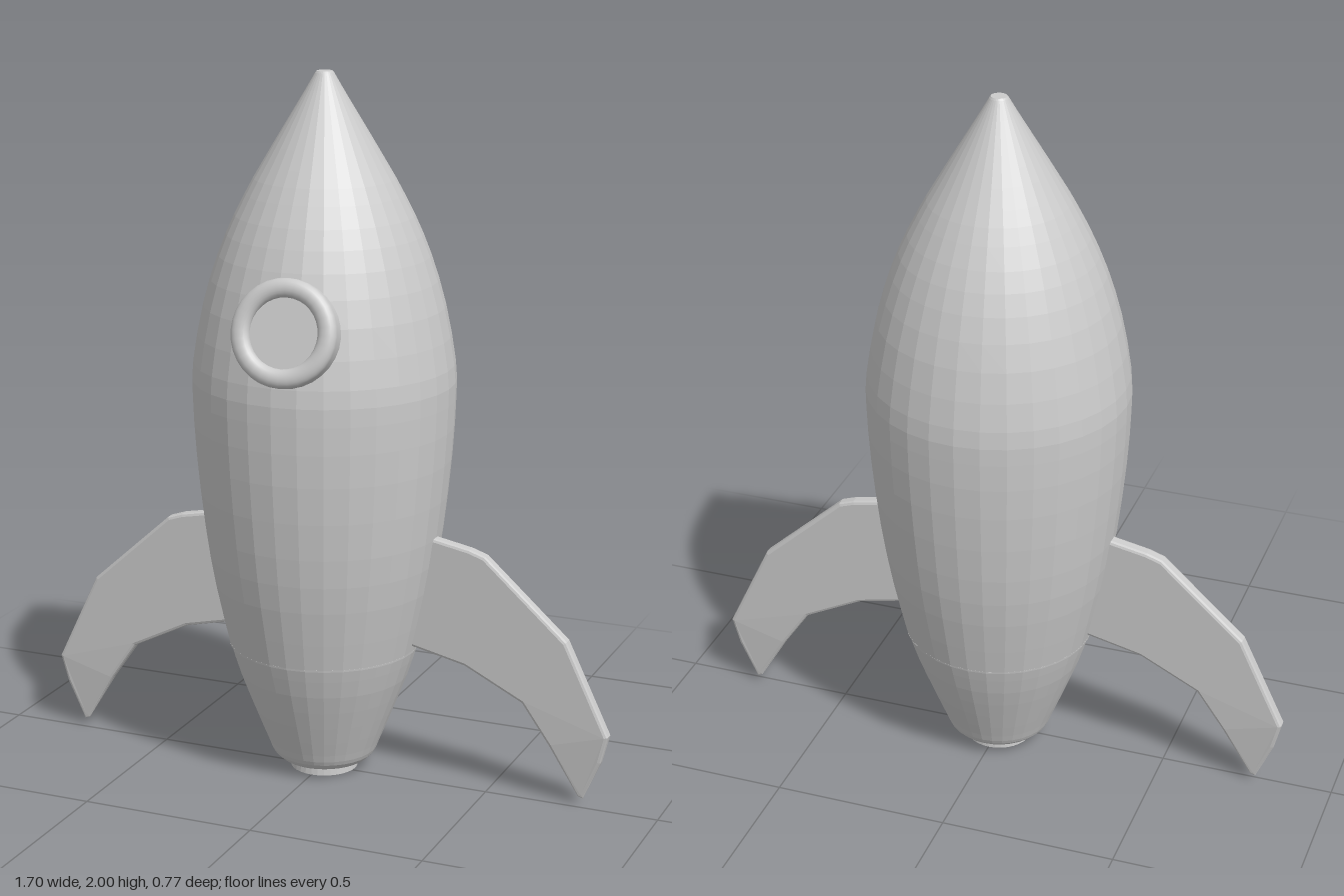
import * as THREE from 'three';

const SIDES = 32;
const AXIS_Z = -0.018;

const material = (options = {}) => new THREE.MeshStandardMaterial({ color: 0xcccccc, ...options });
const faceted = material({ flatShading: true, side: THREE.DoubleSide });
const smooth = material({ side: THREE.DoubleSide });

const vectors = (pairs) => pairs.map(([x, y]) => new THREE.Vector2(x, y));

function part(name, geometry, mat) {
  const mesh = new THREE.Mesh(geometry, mat);
  mesh.name = name;
  return mesh;
}

// Smooth [radius, height] profile turned around the y axis
function turned(name, profile, samples) {
  const points = new THREE.SplineCurve(vectors(profile)).getPoints(samples);
  return part(name, new THREE.LatheGeometry(points, SIDES), faceted);
}

// Swept fin with bevelled edges, thinning to a point at its foot
function finGeometry() {
  const outline = [
    [0.2, 0.41], [0.275, 0.4], [0.43, 0.365], [0.6, 0.28], [0.68, 0.165], [0.765, 0.025],
    [0.78, 0.02], [0.83, 0.135], [0.85, 0.215], [0.725, 0.475], [0.485, 0.69],
    [0.44, 0.705], [0.335, 0.725], [0.2, 0.73],
  ];
  const bevel = 0.009;
  const geometry = new THREE.ExtrudeGeometry(new THREE.Shape(vectors(outline)), {
    depth: 0.04 - 2 * bevel, bevelThickness: bevel, bevelSize: bevel, bevelOffset: -bevel, bevelSegments: 2,
  });
  geometry.translate(0, 0, bevel - 0.02);
  const p = geometry.attributes.position;
  for (let i = 0; i < p.count; i++) {
    const taper = THREE.MathUtils.clamp((p.getY(i) - 0.02) / 0.18, 0, 1);
    p.setZ(i, p.getZ(i) * (0.12 + 0.88 * taper));
  }
  geometry.computeVertexNormals();
  return geometry;
}

// Round window: rounded ring and recessed pane, facing +z before placing
function createWindow() {
  const group = new THREE.Group();
  group.name = 'window';
  const ring = [[0.146, -0.06], [0.147, 0.025]];
  for (let i = 0; i <= 10; i++) {
    const a = (Math.PI * i) / 10;
    ring.push([0.121 + 0.026 * Math.cos(a), 0.03 + 0.02 * Math.sin(a)]);
  }
  ring.push([0.095, 0.005]);
  const rim = part('windowRing', new THREE.LatheGeometry(vectors(ring), SIDES), smooth);
  rim.rotation.x = Math.PI / 2;
  const pane = part('windowPane', new THREE.CircleGeometry(0.1, SIDES), smooth);
  pane.position.z = 0.028;
  group.add(rim, pane);
  group.position.set(0.026, 1.342, 0.298);
  group.rotation.set(-0.27, 0.09, 0, 'YXZ');
  return group;
}

export function createModel() {
  const model = new THREE.Group();
  model.name = 'rocket';

  const hull = new THREE.Group();
  hull.name = 'hull';
  hull.position.z = AXIS_Z;

  // Body shell in three sections
  hull.add(turned('tailSection', [
    [0.122, 0.03], [0.145, 0.05], [0.16, 0.085], [0.198, 0.18], [0.24, 0.29], [0.268, 0.38],
  ], 10));
  hull.add(turned('mainBody', [
    [0.27, 0.38], [0.31, 0.56], [0.336, 0.72], [0.358, 0.93], [0.367, 1.1], [0.364, 1.2],
    [0.335, 1.36], [0.293, 1.5], [0.247, 1.61], [0.195, 1.71],
  ], 18));
  hull.add(turned('noseCone', [
    [0.195, 1.71], [0.142, 1.8], [0.094, 1.88], [0.052, 1.95], [0.026, 1.995],
  ], 8));
  const tip = part('noseTip', new THREE.CylinderGeometry(0.022, 0.026, 0.005, SIDES), faceted);
  tip.position.y = 1.9975;
  hull.add(tip);

  // Seam where the tail section meets the body
  const seam = part('tailSeam', new THREE.CylinderGeometry(0.271, 0.27, 0.006, SIDES), faceted);
  seam.position.y = 0.38;
  hull.add(seam);

  // Hollow nozzle and the underside around it
  hull.add(part('nozzle', new THREE.LatheGeometry(vectors([
    [0.122, 0.03], [0.094, 0.03], [0.096, 0], [0.076, 0], [0.06, 0.06], [0, 0.07],
  ]), SIDES), faceted));

  // Pair of fins
  const fin = finGeometry();
  for (const [name, turn] of [['leftFin', 0], ['rightFin', Math.PI]]) {
    const mesh = part(name, fin, faceted);
    mesh.rotation.y = turn;
    hull.add(mesh);
  }

  model.add(hull, createWindow());
  return model;
}
